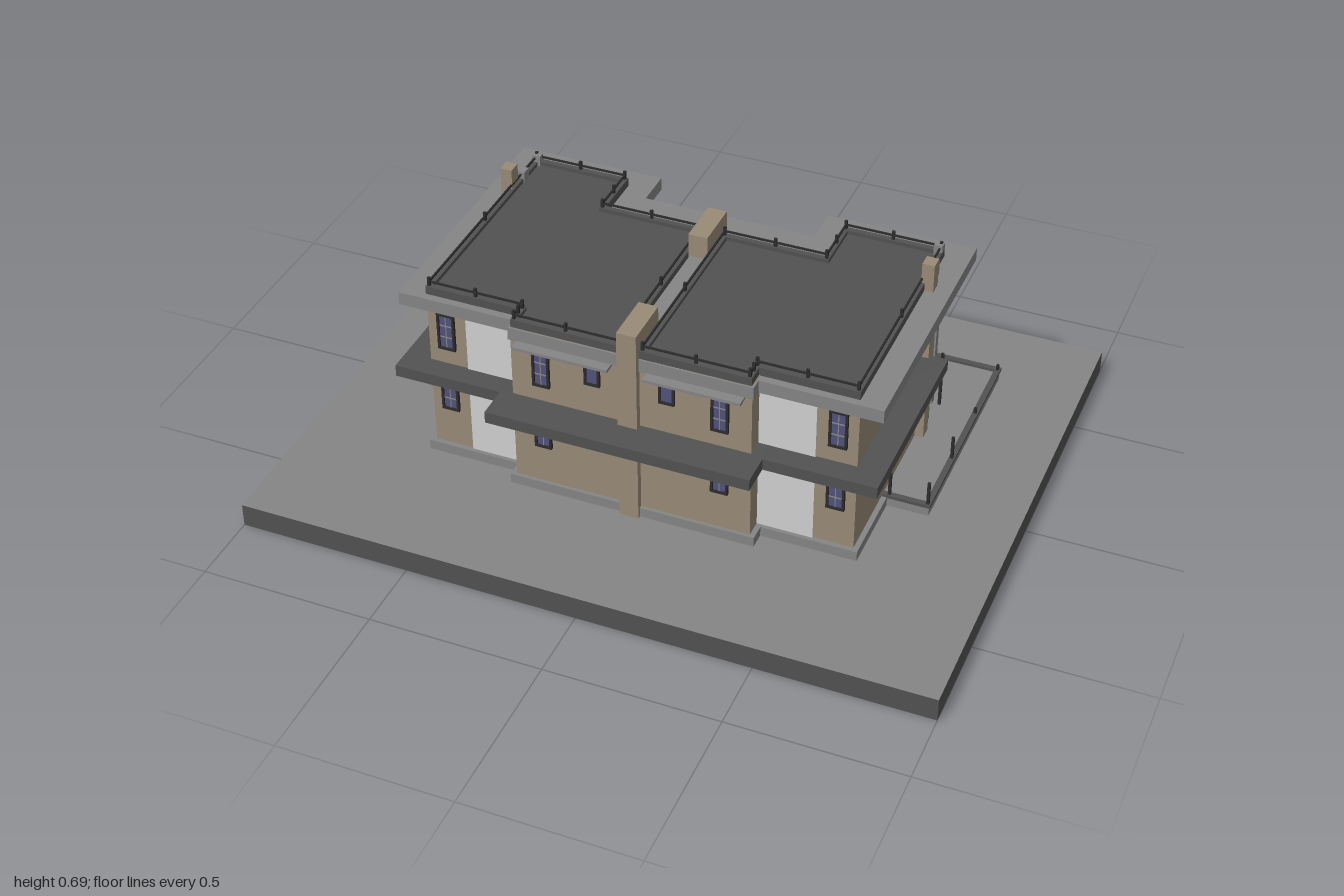
import * as THREE from 'three';

const mat = (name, color, side = THREE.FrontSide) => {
  const m = new THREE.MeshStandardMaterial({ color, side });
  m.name = name;
  return m;
};

export function createModel() {
  const root = new THREE.Group();
  root.name = 'semiDetachedHouse';
  const M = {
    tan: mat('tanRender', 0x988a76),
    light: mat('lightRender', 0xd0d0d0),
    grey: mat('concreteGrey', 0x858585),
    dark: mat('darkGrey', 0x525252),
    blue: mat('blueGlass', 0x51517c),
    black: mat('blackMetal', 0x2c2c2c),
  };

  const add = (name, geo, m, parent = root) => {
    const mesh = new THREE.Mesh(geo, m);
    mesh.name = name;
    parent.add(mesh);
    return mesh;
  };
  // box given by its minimum and maximum on each axis
  const box = (name, m, x0, x1, y0, y1, z0, z1, parent = root) => {
    const mesh = add(name, new THREE.BoxGeometry(x1 - x0, y1 - y0, z1 - z0), m, parent);
    mesh.position.set((x0 + x1) / 2, (y0 + y1) / 2, (z0 + z1) / 2);
    return mesh;
  };
  // the same box on both sides of x = 0
  const pair = (name, m, x0, x1, ...rest) => {
    box(name + 'Left', m, x0, x1, ...rest);
    box(name + 'Right', m, -x1, -x0, ...rest);
  };
  // slab from an x,z outline
  const slab = (name, m, pts, y0, y1) => {
    const shape = new THREE.Shape(pts.map(([x, z]) => new THREE.Vector2(x, -z)));
    const geo = new THREE.ExtrudeGeometry(shape, { depth: y1 - y0, bevelEnabled: false });
    geo.rotateX(-Math.PI / 2);
    return (add(name, geo, m).position.y = y0);
  };
  const flip = (pts) => pts.map(([x, z]) => [-x, z]);
  const full = (half) => [...half, ...flip(half).reverse()];
  // square bar along axis-aligned x,z points
  const bars = (name, m, pts, y0, y1, w) => {
    const g = new THREE.Group();
    g.name = name;
    root.add(g);
    for (let i = 0; i < pts.length - 1; i++) {
      const [ax, az] = pts[i], [bx, bz] = pts[i + 1];
      box(name + 'Run', m, Math.min(ax, bx) - w / 2, Math.max(ax, bx) + w / 2, y0, y1,
        Math.min(az, bz) - w / 2, Math.max(az, bz) + w / 2, g);
    }
  };
  // framed window with cols x rows panes, facing its own +z
  const windowAt = (name, x, y, z, w, h, turn, cols, rows) => {
    const g = new THREE.Group();
    g.name = name;
    g.position.set(x, y, z);
    g.rotation.y = turn;
    root.add(g);
    box('glass', M.blue, -w / 2, w / 2, -h / 2, h / 2, 0, 0.004, g);
    const t = 0.0035;
    for (const s of [-1, 1]) {
      box('frameSide', M.black, s * w / 2 - t, s * w / 2 + t, -h / 2 - t, h / 2 + t, 0, 0.009, g);
      box('frameEdge', M.black, -w / 2, w / 2, s * h / 2 - t, s * h / 2 + t, 0, 0.009, g);
    }
    for (let i = 1; i < cols; i++) {
      const c = -w / 2 + (w * i) / cols;
      box('mullion', M.grey, c - 0.0015, c + 0.0015, -h / 2, h / 2, 0, 0.006, g);
    }
    for (let i = 1; i < rows; i++) {
      const c = -h / 2 + (h * i) / rows;
      box('transom', M.grey, -w / 2, w / 2, c - 0.0015, c + 0.0015, 0, 0.006, g);
    }
  };

  // ground block: dark sides, grey top
  add('ground', new THREE.BoxGeometry(2, 0.07, 1.58),
    [M.dark, M.dark, M.grey, M.dark, M.dark, M.dark]).position.y = 0.035;

  // terrace plinth with low kerb and posts
  slab('terrace', M.grey, full([[0.36, 0.42], [0.36, 0.37], [0.635, 0.37], [0.635, 0.12],
    [0.755, 0.12], [0.755, -0.545], [0.33, -0.545], [0.33, -0.3]]), 0.07, 0.1);
  const kerb = [[0.63, 0.115], [0.75, 0.115], [0.75, -0.545], [0.325, -0.545], [0.325, -0.52]];
  bars('kerbLeft', M.dark, kerb, 0.098, 0.108, 0.017);
  bars('kerbRight', M.dark, flip(kerb), 0.098, 0.108, 0.017);
  for (const [x, z, top] of [[0.75, 0.115, 0.18], [0.75, -0.1, 0.18], [0.64, 0.115, 0.18],
    [0.64, -0.33, 0.28], [0.75, -0.54, 0.125], [0.54, -0.545, 0.125], [0.33, -0.54, 0.125],
    [0.75, -0.32, 0.125]]) {
    pair('terracePost', M.black, x - 0.004, x + 0.004, 0.1, top, z - 0.004, z + 0.004);
  }
  pair('gardenPath', M.tan, 0.345, 0.4, 0.1, 0.107, -0.525, -0.34);
  box('gardenStep', M.tan, -0.09, 0.09, 0.07, 0.095, -0.37, -0.33);

  // house body
  slab('walls', M.tan, full([[0.345, 0.41], [0.345, 0.355], [0.62, 0.355], [0.62, -0.2],
    [0.605, -0.2], [0.605, -0.335], [0.33, -0.335], [0.33, -0.18]]), 0.1, 0.57);
  box('frontBayTop', M.tan, -0.345, 0.345, 0.56, 0.6, 0.3, 0.41);
  pair('frontLightPanel', M.light, 0.345, 0.505, 0.1, 0.562, 0.35, 0.359);
  pair('sideLightPanel', M.light, 0.6, 0.612, 0.1, 0.562, -0.325, -0.2);
  pair('sideGreyPillar', M.grey, 0.6, 0.633, 0.1, 0.645, -0.255, -0.225);
  pair('cornerGreyPillar', M.grey, 0.595, 0.62, 0.1, 0.645, -0.342, -0.32);
  pair('sideChimney', M.tan, 0.61, 0.645, 0.1, 0.685, -0.205, -0.165);
  pair('rearDoorPanel', M.tan, 0.51, 0.59, 0.1, 0.27, -0.343, -0.33);
  pair('rearLightPanel', M.light, 0.03, 0.135, 0.1, 0.562, -0.188, -0.175);
  pair('innerLightPanel', M.light, 0.322, 0.332, 0.1, 0.562, -0.3, -0.2);

  // dividing wall between the two homes
  box('dividingWall', M.tan, -0.028, 0.028, 0.07, 0.6, -0.21, 0.43);
  box('dividingWallFrontTop', M.tan, -0.028, 0.028, 0.6, 0.68, 0.28, 0.43);
  box('dividingWallBackTop', M.tan, -0.028, 0.028, 0.6, 0.68, -0.21, -0.065);
  box('dividingWallCap', M.grey, -0.024, 0.024, 0.595, 0.61, -0.065, 0.28);

  // projecting band between the floors
  slab('floorBand', M.dark, full([[0.38, 0.515], [0.38, 0.42], [0.697, 0.42], [0.697, -0.18],
    [0.3, -0.18], [0.3, -0.1]]), 0.343, 0.378);

  // rear balcony on columns
  box('rearBalcony', M.grey, -0.345, 0.345, 0.33, 0.372, -0.44, -0.17);
  bars('balconyKerb', M.dark, [[-0.34, -0.34], [-0.34, -0.436], [0.34, -0.436], [0.34, -0.34]], 0.37, 0.378, 0.009);
  for (const x of [0.015, 0.18, 0.335]) {
    pair('balconyPost', M.black, x - 0.003, x + 0.003, 0.37, 0.4, -0.439, -0.433);
  }
  pair('balconyColumn', M.grey, 0.3, 0.33, 0.07, 0.33, -0.395, -0.365);

  // roof overhang, parapets and railings
  slab('roofSlab', M.grey, full([[0.35, 0.415], [0.35, 0.38], [0.692, 0.38], [0.692, -0.415],
    [0.255, -0.415], [0.255, -0.3]]), 0.56, 0.599);
  pair('frontCanopy', M.grey, 0.05, 0.325, 0.553, 0.562, 0.4, 0.445);
  const roof = [[0.035, 0.402], [0.335, 0.402], [0.335, 0.35], [0.612, 0.35], [0.612, -0.335],
    [0.335, -0.335], [0.335, -0.178], [0.035, -0.178], [0.035, 0.402]];
  for (const [side, pts] of [['Left', roof], ['Right', flip(roof)]]) {
    slab('roofDeck' + side, M.dark, pts.slice(0, -1), 0.598, 0.612);
    bars('parapet' + side, M.dark, pts, 0.598, 0.624, 0.016);
    bars('roofRail' + side, M.black, pts, 0.634, 0.639, 0.005);
    pts.slice(0, -1).forEach(([x, z], i) => {
      const [nx, nz] = pts[i + 1];
      for (const [px, pz] of [[x, z], [(x + nx) / 2, (z + nz) / 2]]) {
        box('railPost' + side, M.black, px - 0.004, px + 0.004, 0.62, 0.65, pz - 0.004, pz + 0.004);
      }
    });
  }

  // windows, mirrored for the two homes
  for (const s of [-1, 1]) {
    for (const [lo, hi] of [[0.225, 0.33], [0.432, 0.543]]) {
      const y = (lo + hi) / 2, h = hi - lo;
      windowAt('frontOuterWindow', s * 0.565, y, 0.355, 0.045, h, 0, 2, 3);
      windowAt('frontBayWindow', s * 0.257, y, 0.41, 0.043, h, 0, 2, 3);
      windowAt('frontSmallWindow', s * 0.107, hi - 0.033, 0.41, 0.038, 0.062, 0, 1, 1);
    }
    windowAt('sideUpperWindow', s * 0.62, 0.437, -0.017, 0.115, 0.09, s * Math.PI / 2, 2, 2);
    windowAt('sideLowerWindow', s * 0.62, 0.253, -0.047, 0.185, 0.135, s * Math.PI / 2, 1, 1);
    windowAt('rearUpperDoor', s * 0.225, 0.45, -0.18, 0.17, 0.15, Math.PI, 3, 2);
    windowAt('rearLowerDoor', s * 0.225, 0.2, -0.18, 0.17, 0.19, Math.PI, 3, 1);
    for (const x of [0.39, 0.455]) {
      windowAt('rearWingWindow', s * x, 0.475, -0.335, 0.036, 0.085, Math.PI, 1, 2);
    }
    windowAt('rearLowerWindow', s * 0.425, 0.275, -0.335, 0.085, 0.075, Math.PI, 2, 1);
  }
  return root;
}
